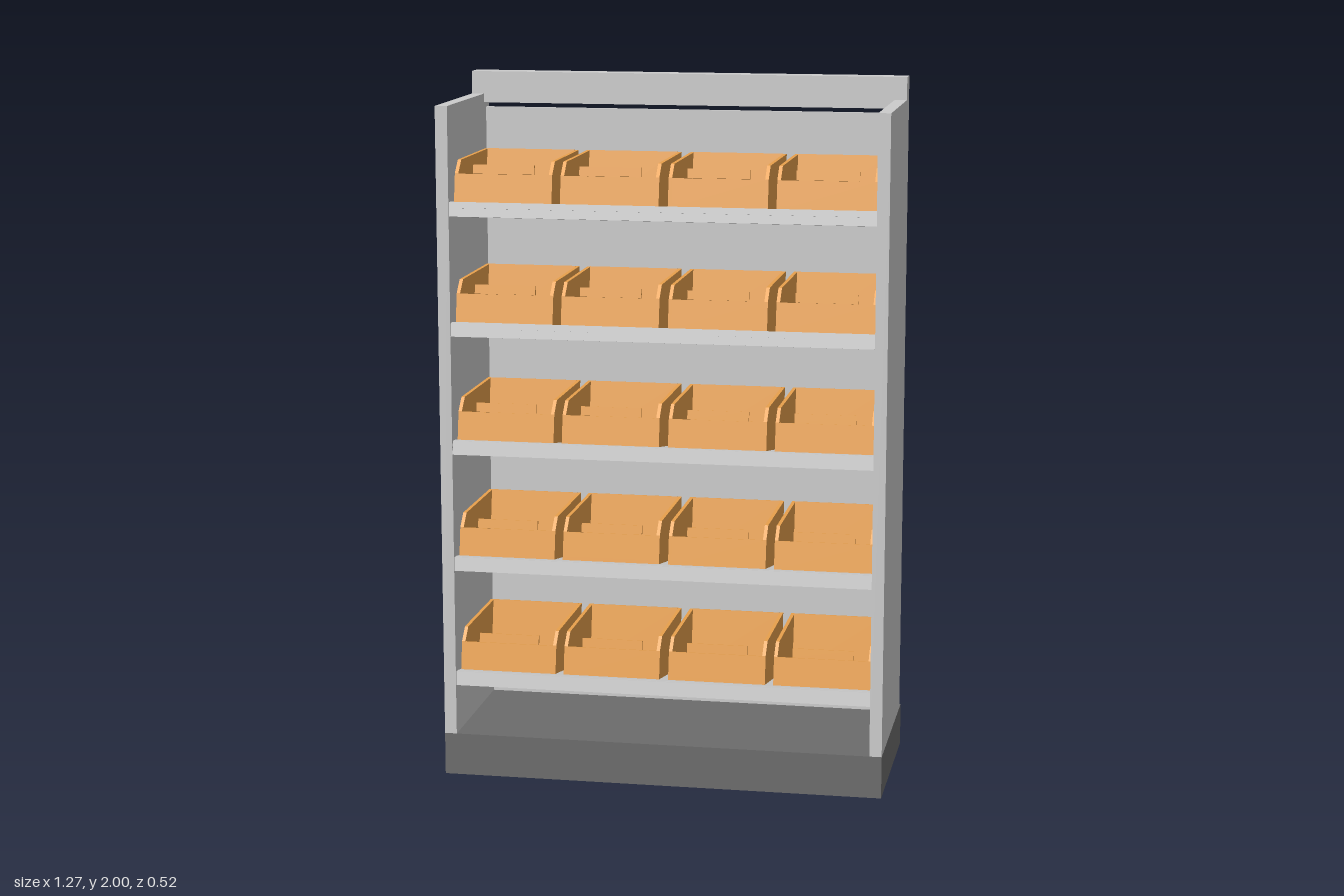
import * as THREE from 'three';

const grey = new THREE.MeshStandardMaterial({ color: 0xcccccc });
const dark = new THREE.MeshStandardMaterial({ color: 0x6c6c6c });
const orange = new THREE.MeshStandardMaterial({ color: 0xe8a04c });

const SLOPE = 0.18; // shelves drop towards the back
const INNER = 1.2; // clear width between the side panels

function box(name, material, w, y0, y1, z0, z1, x = 0) {
  const mesh = new THREE.Mesh(new THREE.BoxGeometry(w, y1 - y0, z1 - z0), material);
  mesh.position.set(x, (y0 + y1) / 2, (z0 + z1) / 2);
  mesh.name = name;
  return mesh;
}

// Side profile given as [z, y] points, extruded across x and centred on x
function slab(name, material, points, width, x = 0) {
  const shape = new THREE.Shape(points.map(([z, y]) => new THREE.Vector2(z, y)));
  const geometry = new THREE.ExtrudeGeometry(shape, { depth: width, bevelEnabled: false });
  geometry.translate(0, 0, -width / 2).rotateY(-Math.PI / 2);
  const mesh = new THREE.Mesh(geometry, material);
  mesh.position.x = x;
  mesh.name = name;
  return mesh;
}

// Tilted rectangle: starts at z,y, runs back along the slope, rises square to it
function tilted(z, y, back, rise) {
  const len = Math.hypot(1, SLOPE);
  const c = 1 / len, s = SLOPE / len;
  const at = (b, r) => [z - b * c - r * s, y - b * s + r * c];
  return [at(0, 0), at(0, rise), at(back, rise), at(back, 0)];
}

function createBin() {
  const bin = new THREE.Group();
  bin.name = 'bin';
  const width = 0.28, wall = 0.01;
  const z = 0.21, y = -0.006;
  const depth = 0.338, backHeight = 0.178;
  const backBottom = tilted(z, y, depth, 0)[2];
  const backTop = tilted(z, y, depth, backHeight)[2];
  const frontTop = tilted(z, y, 0, 0.082)[1];

  // Side cheeks with a slanted front corner
  for (const side of [-1, 1]) {
    bin.add(slab('binSide', orange,
      [[z, y], frontTop, [0.16, backTop[1]], backTop, backBottom],
      wall, side * (width - wall) / 2));
  }
  const inside = width - 2 * wall;
  bin.add(slab('binFloor', orange, tilted(z, y, depth, wall), inside));
  bin.add(slab('binFront', orange, tilted(z, y, wall, 0.081), inside));
  bin.add(slab('binBack', orange,
    tilted(backBottom[0] + wall, backBottom[1] + wall * SLOPE, wall, backHeight), inside));
  // Raised tab in the middle of the front wall
  bin.add(slab('binFrontTab', orange,
    tilted(frontTop[0], frontTop[1], 0.008, 0.026), 0.175));
  return bin;
}

function createShelf() {
  const shelf = new THREE.Group();
  shelf.name = 'shelf';
  shelf.add(slab('shelfBoard', grey, tilted(0.243, -0.012, 0.41, 0.012), INNER));
  // Front edge: upper rail with a slightly recessed lower rail
  shelf.add(slab('shelfRail', grey, tilted(0.255, -0.016, 0.012, 0.016), INNER));
  shelf.add(slab('shelfLip', grey, tilted(0.257, -0.04, 0.01, 0.025), INNER));
  for (const x of [-0.457, -0.153, 0.153, 0.457]) {
    const bin = createBin();
    bin.position.x = x;
    shelf.add(bin);
  }
  return shelf;
}

export function createModel() {
  const model = new THREE.Group();
  model.name = 'binShelfUnit';

  // Plinth and cabinet
  model.add(box('plinth', dark, 1.27, 0, 0.122, -0.26, 0.26));
  for (const side of [-1, 1]) {
    model.add(box('sidePanel', grey, 0.035, 0.122, 1.935, -0.22, 0.26, side * 0.6175));
  }
  model.add(box('backPanel', grey, INNER, 0.122, 1.895, -0.2, -0.185));
  model.add(box('header', grey, 1.27, 1.935, 2, -0.22, -0.16));
  model.add(box('headerDrop', grey, INNER, 1.91, 1.935, -0.22, -0.16));

  // Five evenly spaced shelves of bins
  for (let i = 0; i < 5; i++) {
    const shelf = createShelf();
    shelf.position.y = 0.307 + i * 0.34;
    model.add(shelf);
  }
  return model;
}
